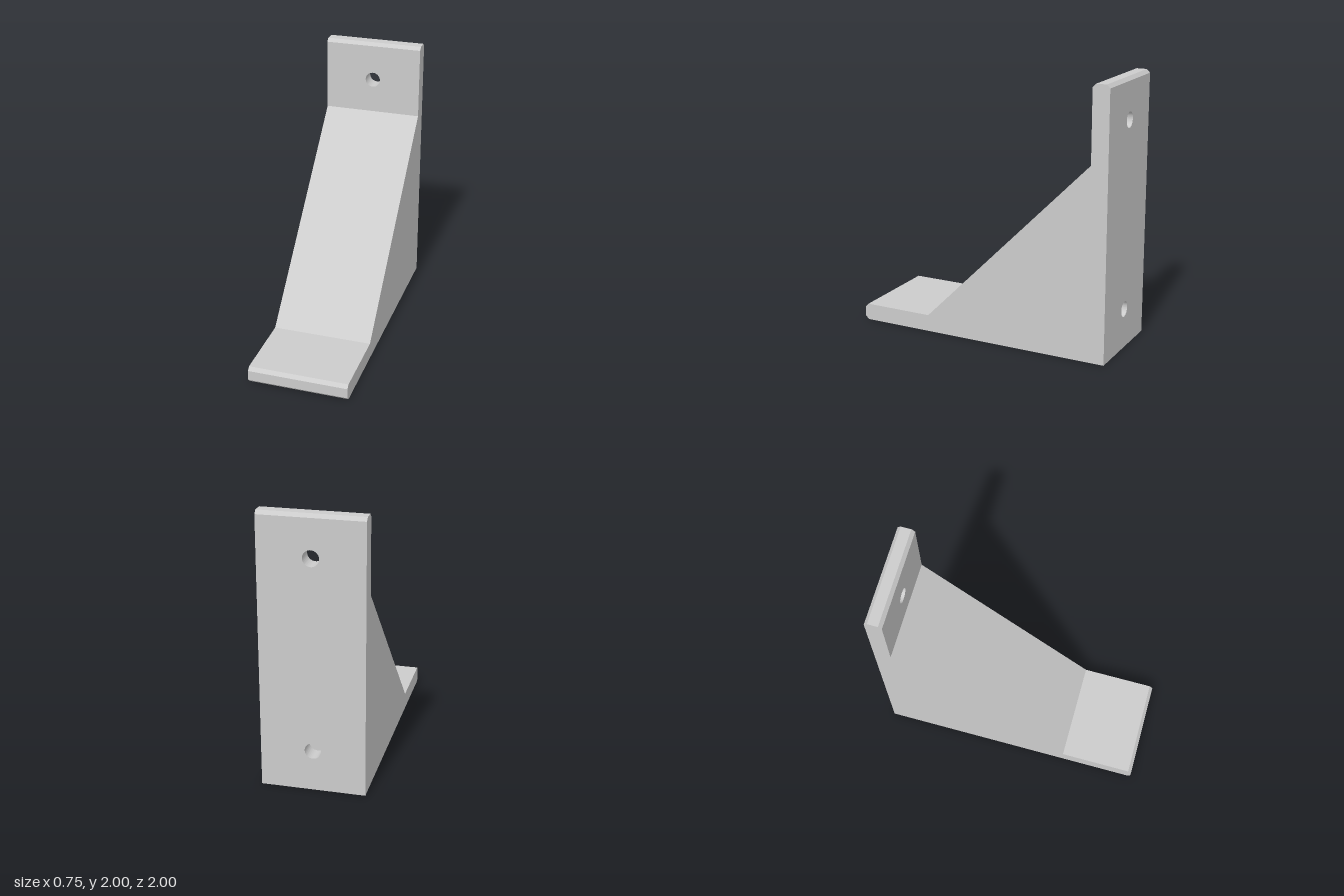
import * as THREE from 'three';
import { toCreasedNormals } from 'three/addons/utils/BufferGeometryUtils.js';

const HALF_W = 0.374;   // half the bracket width
const T = 0.127;        // plate thickness
const C = 0.025;        // chamfer
const HOLE_R = 0.058;
const HOLE_Y = [0.3, 1.7];

const material = new THREE.MeshStandardMaterial({ color: 0xcccccc });

// Extrude a side profile of [z, y] points across the full width
function profileMesh(name, points) {
  const shape = new THREE.Shape(points.map(([z, y]) => new THREE.Vector2(z, y)));
  const geometry = new THREE.ExtrudeGeometry(shape, { depth: HALF_W * 2, bevelEnabled: false });
  geometry.rotateY(-Math.PI / 2).translate(HALF_W, 0, 0);
  const mesh = new THREE.Mesh(geometry, material);
  mesh.name = name;
  return mesh;
}

// Upright plate with two screw holes; the lower one ends blind against the gusset
function wallPlate() {
  const top = 2 - C;
  const shape = new THREE.Shape([
    new THREE.Vector2(-HALF_W, 0), new THREE.Vector2(HALF_W, 0),
    new THREE.Vector2(HALF_W, top), new THREE.Vector2(-HALF_W, top),
  ]);
  for (const y of HOLE_Y) {
    shape.holes.push(new THREE.Path().absarc(0, y, HOLE_R, 0, Math.PI * 2, true));
  }
  const extruded = new THREE.ExtrudeGeometry(shape, { depth: T, bevelEnabled: false, curveSegments: 32 });
  extruded.translate(0, 0, -1);
  const mesh = new THREE.Mesh(toCreasedNormals(extruded, 0.5), material);
  mesh.name = 'wallPlate';
  return mesh;
}

export function createModel() {
  const group = new THREE.Group();
  group.name = 'angleBracket';

  group.add(wallPlate());

  // Chamfered top edge of the upright plate
  group.add(profileMesh('topEdge', [
    [-1, 2 - C], [-1 + T, 2 - C], [-1 + T - C, 2], [-1 + C, 2],
  ]));

  // Solid gusset and foot with a chamfered front edge
  group.add(profileMesh('gussetAndFoot', [
    [-1 + T, 0], [1 - C, 0], [1, C], [1, T - C], [1 - C, T],
    [0.435, T], [-1 + T, 1.437],
  ]));

  return group;
}
